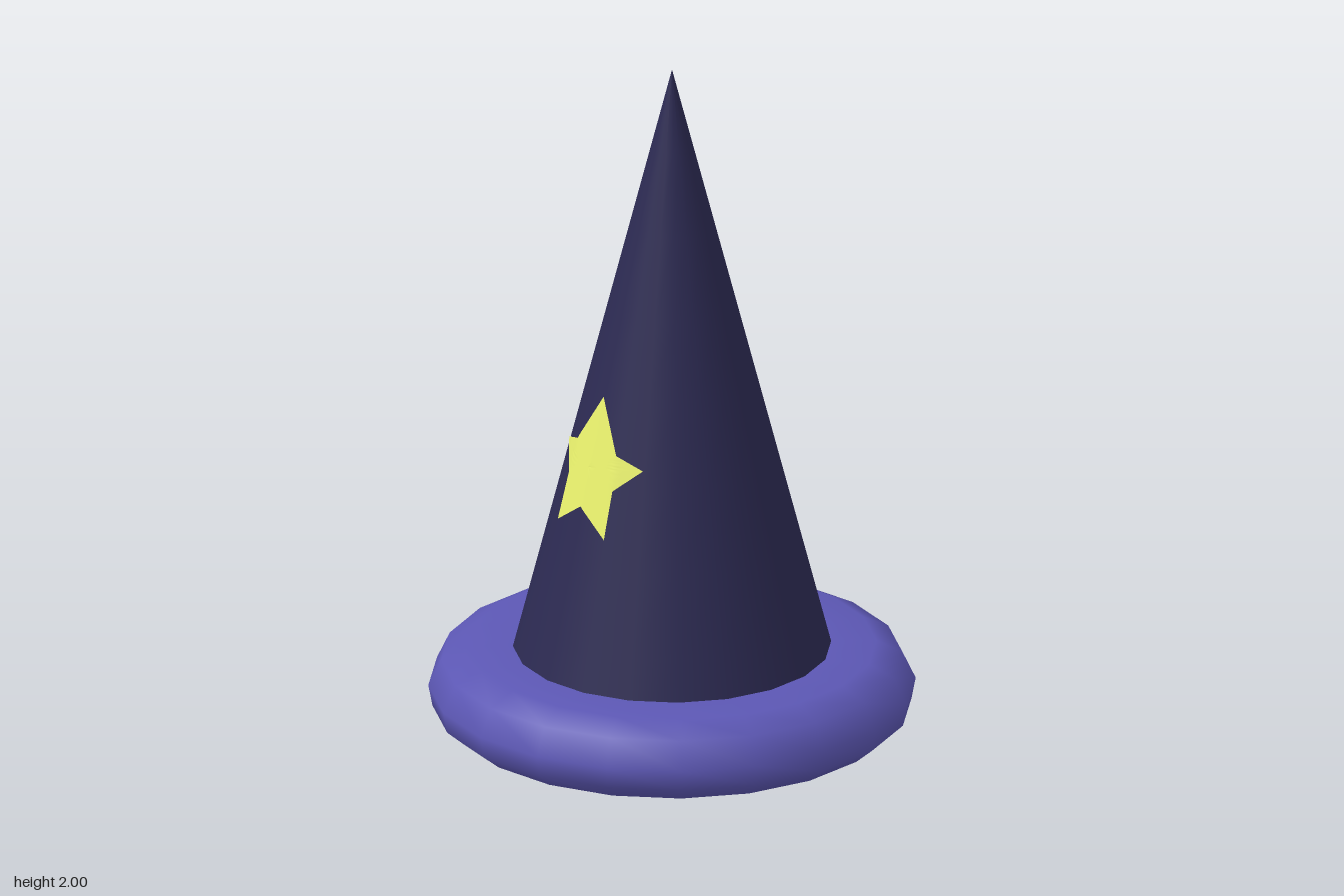
import * as THREE from 'three';

const SIDES = 20;
const TURN = THREE.MathUtils.degToRad(2.5); // slight twist of the facets
const STEP = (Math.PI * 2) / SIDES;
const TOP = 2, BASE = 0.1, SLOPE = 0.2575;

const coneMaterial = new THREE.MeshStandardMaterial({ color: 0x2c2a52 });
const brimMaterial = new THREE.MeshStandardMaterial({ color: 0x5c57b4 });
const starMaterial = new THREE.MeshStandardMaterial({ color: 0xe8f06c, side: THREE.DoubleSide });

function addMesh(group, name, geometry, material) {
  const mesh = new THREE.Mesh(geometry, material);
  mesh.name = name;
  group.add(mesh);
  return mesh;
}

// Depth of the faceted cone surface at a given x and y
function coneDepth(x, y) {
  const r = (TOP - y) * SLOPE;
  const phi = Math.asin(x / r);
  const k = Math.floor((phi - TURN) / STEP);
  const mid = TURN + (k + 0.5) * STEP;
  return (r * Math.cos(STEP / 2) - x * Math.sin(mid)) / Math.cos(mid);
}

// Five-pointed star wrapped onto the front of the cone
function starGeometry() {
  const cx = 0.008, cy = 0.845;
  const outline = [
    [0.01, 1.05], [0.1, 0.9], [0.18, 0.87], [0.112, 0.8], [0.12, 0.66],
    [0.01, 0.73], [-0.093, 0.66], [-0.09, 0.8], [-0.165, 0.87], [-0.08, 0.9],
  ];
  const geometry = new THREE.PlaneGeometry(1, 1, 80, 10);
  const pos = geometry.attributes.position, uv = geometry.attributes.uv;
  for (let i = 0; i < pos.count; i++) {
    const t = uv.getX(i) * 10, s = uv.getY(i);
    const k = Math.floor(t + 1e-4), f = t - k;
    const a = outline[k % 10], b = outline[(k + 1) % 10];
    const x = cx + s * (a[0] + (b[0] - a[0]) * f - cx);
    const y = cy + s * (a[1] + (b[1] - a[1]) * f - cy);
    pos.setXYZ(i, x, y, coneDepth(x, y) + 0.005);
  }
  geometry.computeVertexNormals();
  return geometry;
}

export function createModel() {
  const group = new THREE.Group();
  group.name = 'pointedHat';

  // Tall pointed crown
  const height = TOP - BASE;
  const cone = addMesh(group, 'crown',
    new THREE.ConeGeometry(height * SLOPE, height, SIDES, 8, true, TURN), coneMaterial);
  cone.position.y = BASE + height / 2;

  // Thick rolled brim, profile runs from the inner lip outwards and back over the top
  const profile = [
    [0.455, 0.1], [0.462, 0.04], [0.505, 0], [0.635, 0], [0.688, 0.045],
    [0.7, 0.108], [0.662, 0.188], [0.587, 0.225], [0.45, 0.225],
  ].map(([x, y]) => new THREE.Vector2(x, y));
  addMesh(group, 'brim', new THREE.LatheGeometry(profile, SIDES, TURN), brimMaterial);

  // Closing disc inside the brim
  const disc = addMesh(group, 'innerDisc', new THREE.CircleGeometry(0.465, SIDES), brimMaterial);
  disc.rotation.x = Math.PI / 2;
  disc.position.y = BASE;

  addMesh(group, 'star', starGeometry(), starMaterial);
  return group;
}
